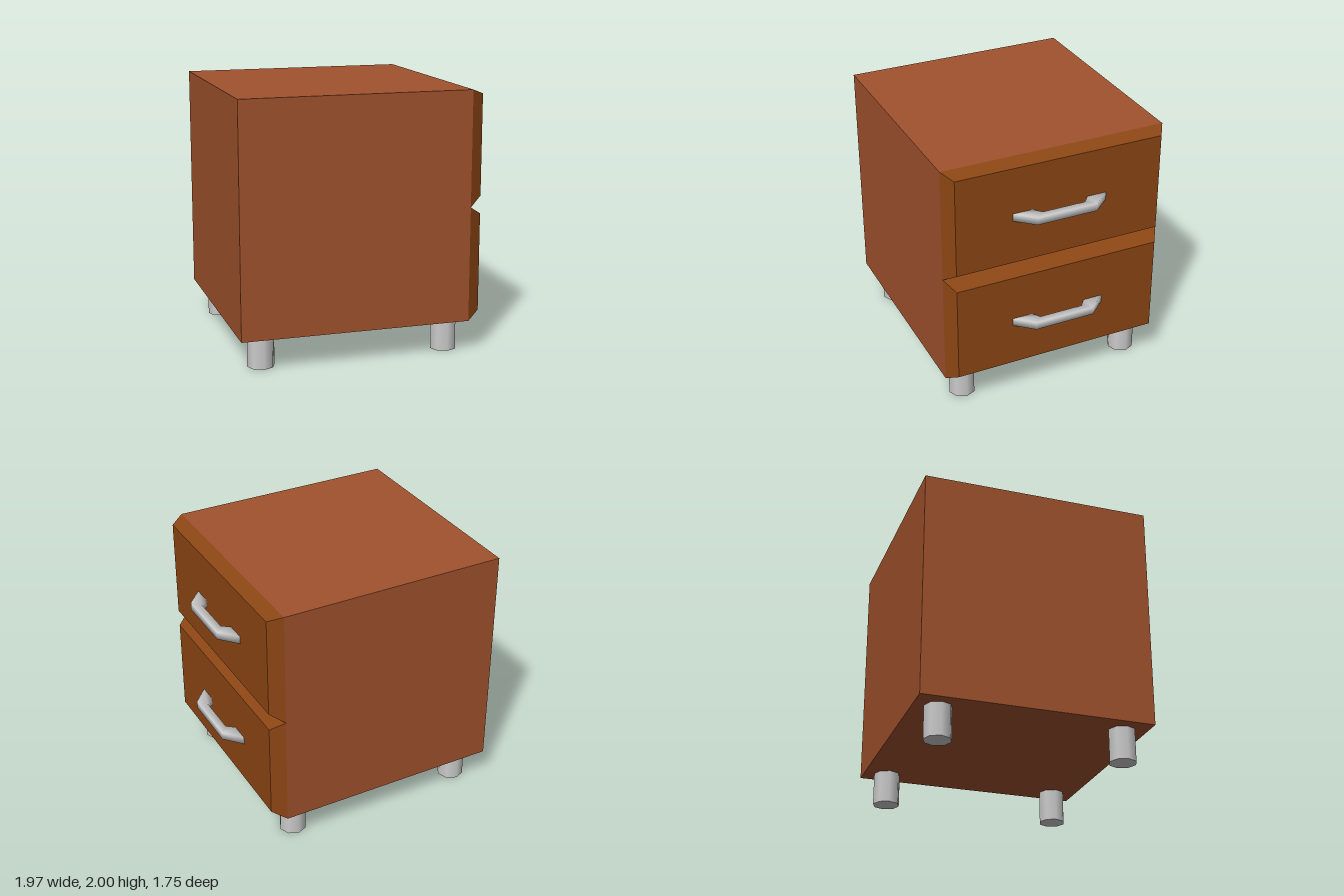
import * as THREE from 'three';
import { mergeVertices } from 'three/addons/utils/BufferGeometryUtils.js';

const wood = new THREE.MeshStandardMaterial({ color: 0xa0522d });
const drawerWood = new THREE.MeshStandardMaterial({ color: 0x8b4513 });
const metal = new THREE.MeshStandardMaterial({ color: 0xcccccc });

const FRONT = 0.762; // plane where the drawers meet the cabinet
const FACE = 0.865; // outer plane of the drawer fronts
const HALF_DEPTH = 0.875;

function part(name, geometry, material, x = 0, y = 0, z = 0) {
  const mesh = new THREE.Mesh(geometry, material);
  mesh.name = name;
  mesh.position.set(x, y, z);
  return mesh;
}

// Block whose outer (+x) face is drawn in to leave sloping borders
function drawerGeometry(y0, y1, faceY0, faceY1) {
  const geometry = new THREE.BoxGeometry(1, 1, 1);
  const p = geometry.attributes.position;
  for (let i = 0; i < p.count; i++) {
    const outer = p.getX(i) > 0;
    const upper = p.getY(i) > 0;
    const y = outer ? (upper ? faceY1 : faceY0) : (upper ? y1 : y0);
    const z = Math.sign(p.getZ(i)) * (outer ? 0.81 : HALF_DEPTH);
    p.setXYZ(i, outer ? FACE : FRONT, y, z);
  }
  const flat = geometry.toNonIndexed();
  flat.computeVertexNormals();
  return flat;
}

// Bracket-shaped bar, extruded upwards, with softly shaded edges
function handleGeometry() {
  const height = 0.06;
  const outline = [
    [FACE, -0.37], [0.985, -0.235], [0.985, 0.235], [FACE, 0.37],
    [FACE, 0.217], [0.925, 0.168], [0.925, -0.168], [FACE, -0.217],
  ].map(([x, z]) => new THREE.Vector2(x, z));
  const extruded = new THREE.ExtrudeGeometry(new THREE.Shape(outline), { depth: height, bevelEnabled: false });
  extruded.translate(0, 0, -height / 2).rotateX(-Math.PI / 2);
  extruded.deleteAttribute('normal');
  extruded.deleteAttribute('uv');
  const geometry = mergeVertices(extruded);
  geometry.computeVertexNormals();
  return geometry;
}

export function createModel() {
  const model = new THREE.Group();
  model.name = 'bedsideCabinet';

  // Cabinet body
  const width = FRONT + 0.988;
  model.add(part('cabinetBody', new THREE.BoxGeometry(width, 1.75, HALF_DEPTH * 2), wood, FRONT - width / 2, 1.125, 0));

  // Two drawers, each with its handle
  const handle = handleGeometry();
  const drawers = [
    { name: 'lowerDrawer', ys: [0.25, 1.125, 0.31, 1.06], handleY: 0.675 },
    { name: 'upperDrawer', ys: [1.125, 2, 1.195, 1.96], handleY: 1.57 },
  ];
  for (const { name, ys, handleY } of drawers) {
    const drawer = new THREE.Group();
    drawer.name = name;
    drawer.add(part('drawerFront', drawerGeometry(...ys), drawerWood));
    drawer.add(part('drawerHandle', handle, metal, 0, handleY, 0));
    model.add(drawer);
  }

  // Four eight-sided legs
  const leg = new THREE.CylinderGeometry(0.103, 0.103, 0.25, 8);
  for (const x of [-0.803, 0.63]) {
    for (const z of [-0.692, 0.692]) model.add(part('leg', leg, metal, x, 0.125, z));
  }
  return model;
}
